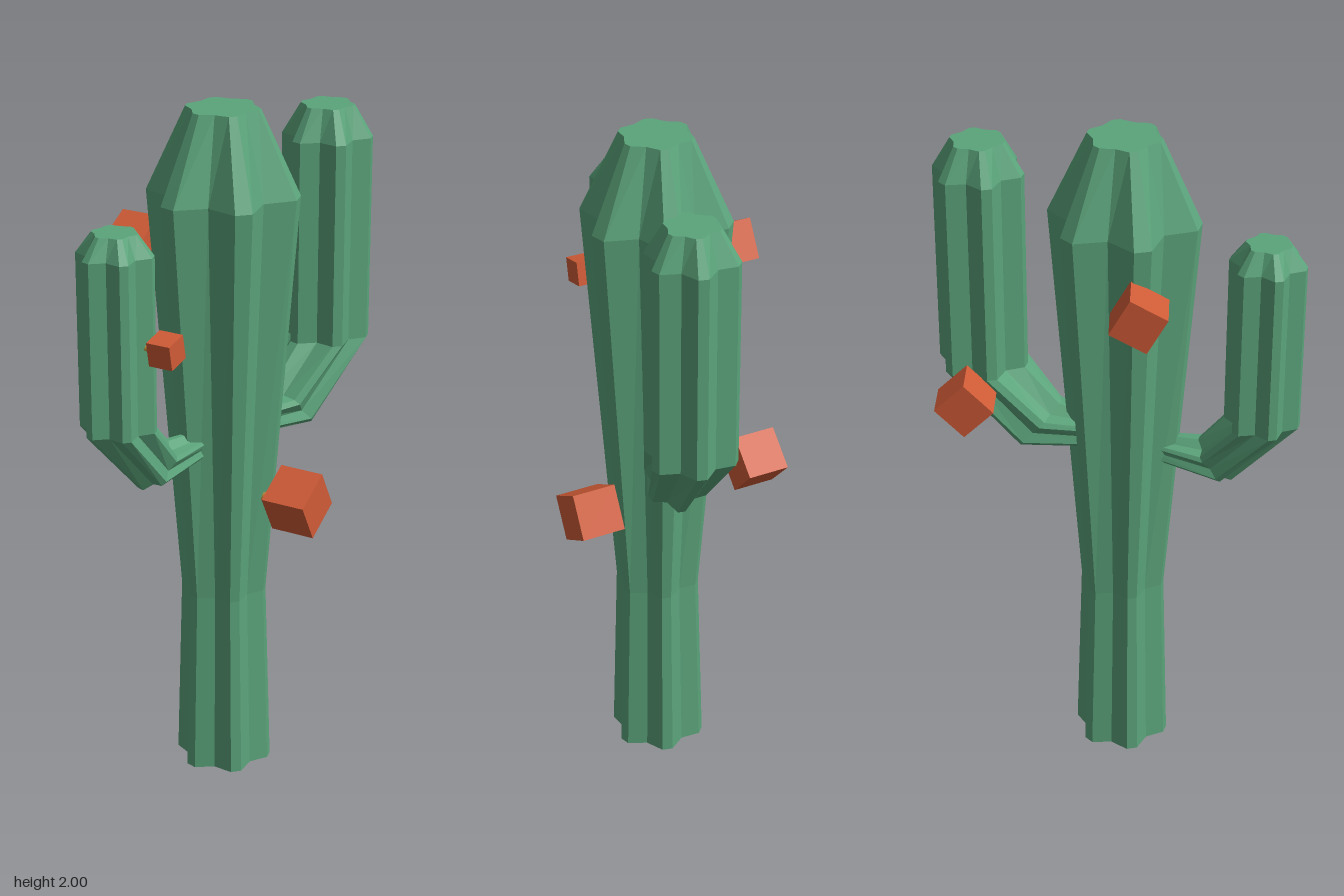
import * as THREE from 'three';

const green = new THREE.MeshStandardMaterial({ name: 'cactusGreen', color: 0x5ba47b, flatShading: true });
const orange = new THREE.MeshStandardMaterial({ name: 'flowerOrange', color: 0xcf5b36 });
const gold = new THREE.MeshStandardMaterial({ name: 'stemGold', color: 0xc8973f });

const UP = new THREE.Vector3(0, 1, 0);
const rad = THREE.MathUtils.degToRad;
const RIBS = 6;
const TIP = rad(6.5); // half width of a rib's flat tip

// Outline of a ribbed section: two tip points and one valley point per rib
function ribOutline(depth) {
  const points = [];
  for (let k = 0; k < RIBS; k++) {
    const a = (k * 2 * Math.PI) / RIBS;
    points.push([a - TIP, 1], [a + TIP, 1], [a + Math.PI / RIBS, depth]);
  }
  return points;
}

// Ribbed tube through rings given as [distance outwards, height, radius, lean in degrees, valley depth]
function ribbedBody(name, origin, dir, rings) {
  const side = new THREE.Vector3().crossVectors(UP, dir);
  const centres = [];
  const loops = rings.map(([d, y, r, lean, depth]) => {
    const t = rad(lean);
    const centre = origin.clone().addScaledVector(dir, d).setY(y);
    const across = dir.clone().multiplyScalar(Math.cos(t)).addScaledVector(UP, -Math.sin(t));
    centres.push(centre);
    return ribOutline(depth).map(([a, k]) => centre.clone()
      .addScaledVector(across, r * k * Math.cos(a))
      .addScaledVector(side, r * k * Math.sin(a)));
  });
  const pos = [];
  const tri = (...corners) => corners.forEach((p) => pos.push(p.x, p.y, p.z));
  const n = loops[0].length;
  const last = loops.length - 1;
  for (let j = 0; j < n; j++) {
    const q = (j + 1) % n;
    for (let i = 0; i < last; i++) {
      tri(loops[i][j], loops[i][q], loops[i + 1][q]);
      tri(loops[i][j], loops[i + 1][q], loops[i + 1][j]);
    }
    // end caps
    tri(centres[0], loops[0][q], loops[0][j]);
    tri(centres[last], loops[last][j], loops[last][q]);
  }
  const geo = new THREE.BufferGeometry();
  geo.setAttribute('position', new THREE.Float32BufferAttribute(pos, 3));
  geo.computeVertexNormals();
  const mesh = new THREE.Mesh(geo, green);
  mesh.name = name;
  return mesh;
}

// Tilted cube blossom on a short stem rooted in the plant
function flower(name, size, centre, tilt, root) {
  const group = new THREE.Group();
  group.name = name;
  const c = new THREE.Vector3(...centre);
  const r = new THREE.Vector3(...root);

  const blossom = new THREE.Mesh(new THREE.BoxGeometry(size, size, size), orange);
  blossom.name = 'blossom';
  blossom.position.copy(c);
  blossom.rotation.set(rad(tilt), rad(-22), 0, 'YXZ');

  const stem = new THREE.Mesh(new THREE.CylinderGeometry(size * 0.2, size * 0.15, r.distanceTo(c), 6), gold);
  stem.name = 'stem';
  stem.position.copy(r).lerp(c, 0.5);
  stem.quaternion.setFromUnitVectors(UP, c.clone().sub(r).normalize());

  group.add(blossom, stem);
  return group;
}

export function createModel() {
  const cactus = new THREE.Group();
  cactus.name = 'cactus';

  const axis = new THREE.Vector3(-0.018, 0, 0.05);
  const back = new THREE.Vector3(0.6, 0, -0.8);
  const front = back.clone().negate();

  cactus.add(
    ribbedBody('trunk', axis, back, [
      [0, 0, 0.14, 0, 0.78],
      [0, 0.56, 0.124, 0, 0.78],
      [0, 1.76, 0.215, 0, 0.72],
      [0, 2, 0.104, 0, 0.84],
    ]),
    ribbedBody('tallArm', axis, back, [
      [0.07, 1.06, 0.052, 85, 0.78],
      [0.25, 1.06, 0.096, 50, 0.76],
      [0.42, 1.24, 0.13, 0, 0.74],
      [0.42, 1.84, 0.13, 0, 0.74],
      [0.42, 1.93, 0.077, 0, 0.84],
    ]),
    ribbedBody('shortArm', axis, front, [
      [0.08, 1.04, 0.04, 85, 0.78],
      [0.275, 1.03, 0.078, 50, 0.76],
      [0.405, 1.18, 0.107, 0, 0.74],
      [0.405, 1.68, 0.107, 0, 0.74],
      [0.405, 1.74, 0.063, 0, 0.84],
    ]),
    flower('trunkFlowerLow', 0.132, [0.203, 0.87, 0.115], 29, [0.09, 0.87, 0.08]),
    flower('trunkFlowerHigh', 0.117, [-0.27, 1.59, 0], 29, [-0.17, 1.59, 0.03]),
    flower('tallArmFlower', 0.118, [0.087, 1.2, -0.387], 46, [0.2, 1.22, -0.32]),
    flower('shortArmFlower', 0.072, [-0.12, 1.43, 0.416], 11, [-0.2, 1.43, 0.395]),
  );
  return cactus;
}
